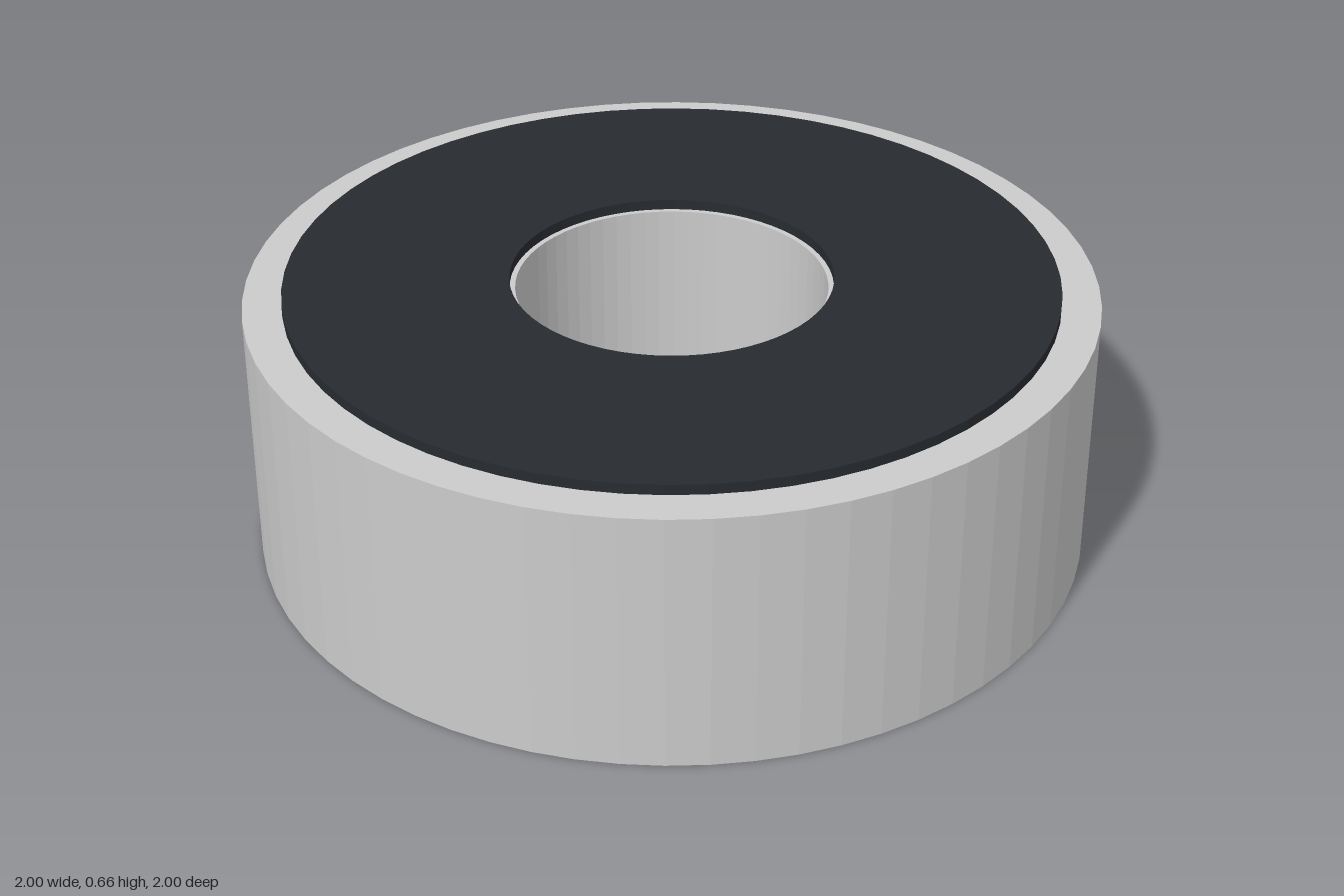
import * as THREE from 'three';

const SEGMENTS = 64;
const RING_HEIGHT = 0.635;
const SEAL_TOP = 0.66;

// Solid ring with a rectangular section, from radius rIn to rOut and y0 to y1
function ring(name, rIn, rOut, y0, y1, material) {
  const profile = [[rOut, y0], [rOut, y1], [rIn, y1], [rIn, y0], [rOut, y0]]
    .map(([r, y]) => new THREE.Vector2(r, y));
  const mesh = new THREE.Mesh(new THREE.LatheGeometry(profile, SEGMENTS), material);
  mesh.name = name;
  return mesh;
}

export function createModel() {
  const model = new THREE.Group();
  model.name = 'ballBearing';
  const steel = new THREE.MeshStandardMaterial({ color: 0xcccccc, flatShading: true });
  const rubber = new THREE.MeshStandardMaterial({ color: 0x272b31, flatShading: true });

  // Races and the seal that covers the upper side
  model.add(ring('outerRace', 0.73, 1, 0, RING_HEIGHT, steel));
  model.add(ring('innerRace', 0.367, 0.547, 0, RING_HEIGHT, steel));
  model.add(ring('seal', 0.38, 0.908, RING_HEIGHT, SEAL_TOP, rubber));

  // Balls evenly spaced between the races
  const balls = new THREE.Group();
  balls.name = 'balls';
  const ballGeometry = new THREE.SphereGeometry(0.13, 24, 16);
  const count = 10;
  const pitchRadius = 0.638;
  for (let i = 0; i < count; i++) {
    const angle = (i / count) * Math.PI * 2;
    const ball = new THREE.Mesh(ballGeometry, steel);
    ball.name = `ball${i + 1}`;
    ball.position.set(pitchRadius * Math.cos(angle), RING_HEIGHT / 2, pitchRadius * Math.sin(angle));
    balls.add(ball);
  }
  model.add(balls);
  return model;
}
